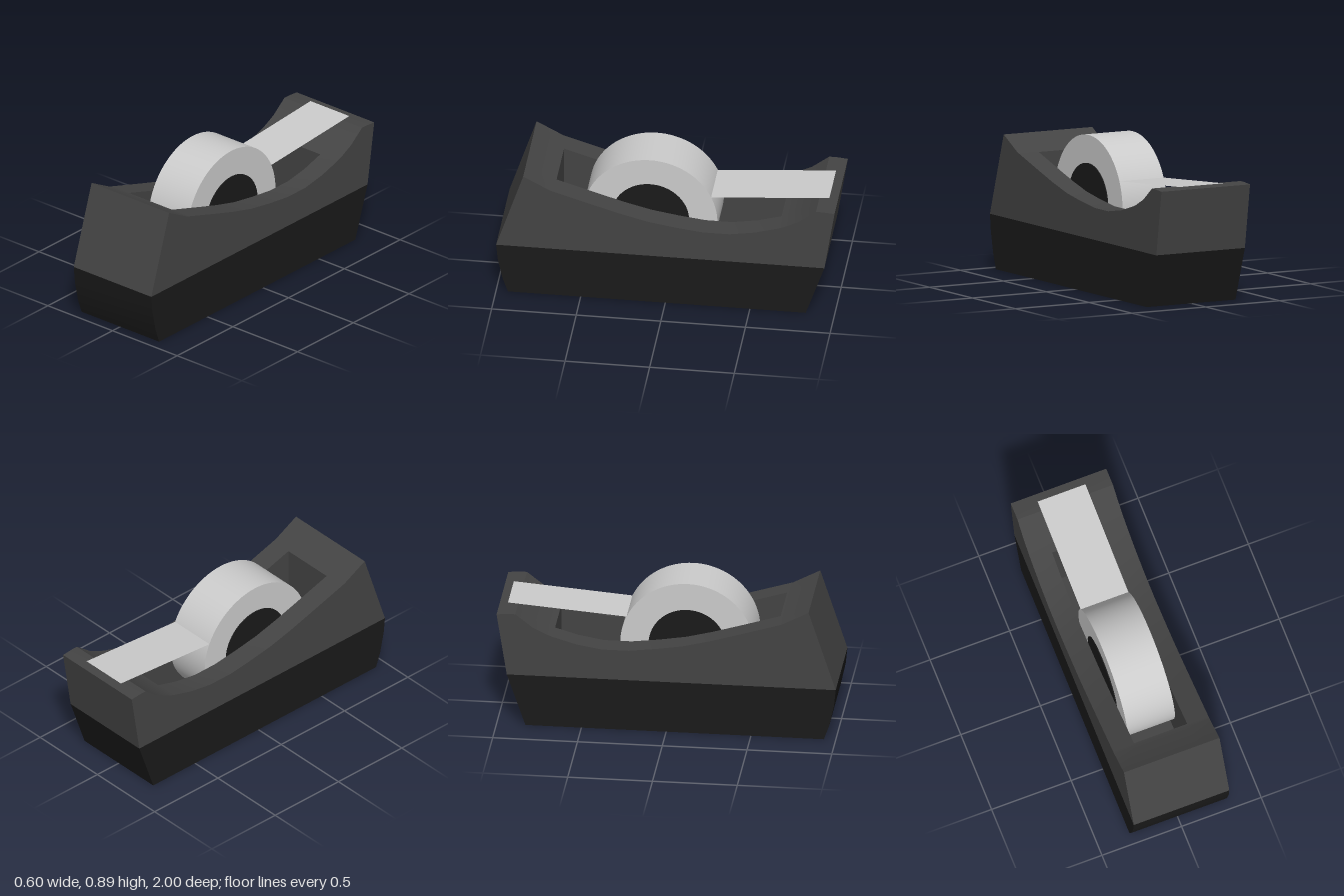
import * as THREE from 'three';
import { mergeGeometries, toCreasedNormals } from 'three/addons/utils/BufferGeometryUtils.js';

const W = 0.3;      // half width of the body
const P = 0.167;    // half width of the pocket
const ROLL = { y: 0.493, z: 0.108, outer: 0.396, inner: 0.229, half: 0.15 };

// All outlines are [z, y] pairs.
const saddle = [
  [0.84, 0.81], [0.68, 0.725], [0.66, 0.719], [0.42, 0.645], [0.26, 0.597], [0.1, 0.556], [-0.06, 0.53],
  [-0.22, 0.51], [-0.38, 0.51], [-0.53, 0.535], [-0.67, 0.576], [-0.7, 0.587], [-0.79, 0.632],
  [-0.89, 0.71], [-0.93, 0.71], [-1, 0.704],
];
const pocketFront = 2, pocketBack = 10;   // places in saddle where the pocket starts and ends
const frontSeam = [1, 0.32], backSeam = [-0.94, 0.32];
const base = [backSeam, [-0.83, 0], [0.93, 0], [0.962, 0.09], [0.99, 0.22], frontSeam];

// Open strip that carries an outline across from x0 to x1.
function band(points, x0, x1) {
  const pos = [];
  for (let i = 0; i < points.length - 1; i++) {
    const [z0, y0] = points[i], [z1, y1] = points[i + 1];
    pos.push(x0, y0, z0, x1, y0, z0, x1, y1, z1);
    pos.push(x0, y0, z0, x1, y1, z1, x0, y1, z1);
  }
  const g = new THREE.BufferGeometry();
  g.setAttribute('position', new THREE.Float32BufferAttribute(pos, 3));
  g.computeVertexNormals();
  return g;
}

// Flat side panel at x, facing +x (dir 1) or -x (dir -1).
function panel(points, x, dir) {
  const shape = new THREE.Shape(points.map(([z, y]) => new THREE.Vector2(-dir * z, y)));
  const g = new THREE.ShapeGeometry(shape).toNonIndexed();
  g.deleteAttribute('uv');
  return g.rotateY(dir * Math.PI / 2).translate(x, 0, 0);
}

function part(name, geometry, color, options = {}) {
  const mesh = new THREE.Mesh(geometry, new THREE.MeshStandardMaterial({ color, ...options }));
  mesh.name = name;
  return mesh;
}

const join = (pieces) => toCreasedNormals(mergeGeometries(pieces), 0.5);

export function createModel() {
  const model = new THREE.Group();
  model.name = 'tapeDispenser';

  // Lower body
  model.add(part('base', join([
    band(base, -W, W), panel(base, W, 1), panel(base, -W, -1),
  ]), 0x1a1a1a));

  // Upper body with the curved top left open over the pocket
  const upper = [frontSeam, ...saddle, backSeam];
  model.add(part('upperBody', join([
    band([frontSeam, saddle[0]], -W, W),
    band([saddle.at(-1), backSeam], -W, W),
    band(saddle, -W, -P),
    band(saddle, P, W),
    band(saddle.slice(0, pocketFront + 1), -P, P),
    band(saddle.slice(pocketBack), -P, P),
    panel(upper, W, 1),
    panel(upper, -W, -1),
  ]), 0x444444));

  // Pocket walls and floor, facing inward
  const rim = saddle.slice(pocketFront, pocketBack + 1);
  const floorY = 0.08;
  const well = [rim[0], [rim[0][0], floorY], [rim.at(-1)[0], floorY], rim.at(-1)];
  const wall = [...rim, well[2], well[1]];
  model.add(part('pocket', join([
    band(well, -P, P), panel(wall, P, -1), panel(wall, -P, 1),
  ]), 0x444444));

  // Roll of tape
  const ring = new THREE.Shape().absarc(0, 0, ROLL.outer, 0, Math.PI * 2);
  ring.holes.push(new THREE.Path().absarc(0, 0, ROLL.inner, 0, Math.PI * 2, true));
  const rollGeometry = new THREE.ExtrudeGeometry(ring, {
    depth: ROLL.half * 2, bevelEnabled: false, curveSegments: 48,
  }).translate(0, 0, -ROLL.half).rotateY(Math.PI / 2);
  const roll = part('tapeRoll', toCreasedNormals(rollGeometry, 0.5), 0xcccccc);
  roll.position.set(0, ROLL.y, ROLL.z);
  model.add(roll);

  // Hub, standing slightly proud of the roll
  const hub = part('hub',
    new THREE.CylinderGeometry(ROLL.inner, ROLL.inner, 0.312, 48).rotateZ(Math.PI / 2), 0x1a1a1a);
  hub.position.copy(roll.position);
  model.add(hub);

  // Loose end of the tape reaching the back lip
  model.add(part('tapeStrip',
    band([[-0.25, 0.66], [-0.95, 0.715]], -ROLL.half, ROLL.half), 0xcccccc, { side: THREE.DoubleSide }));

  return model;
}
